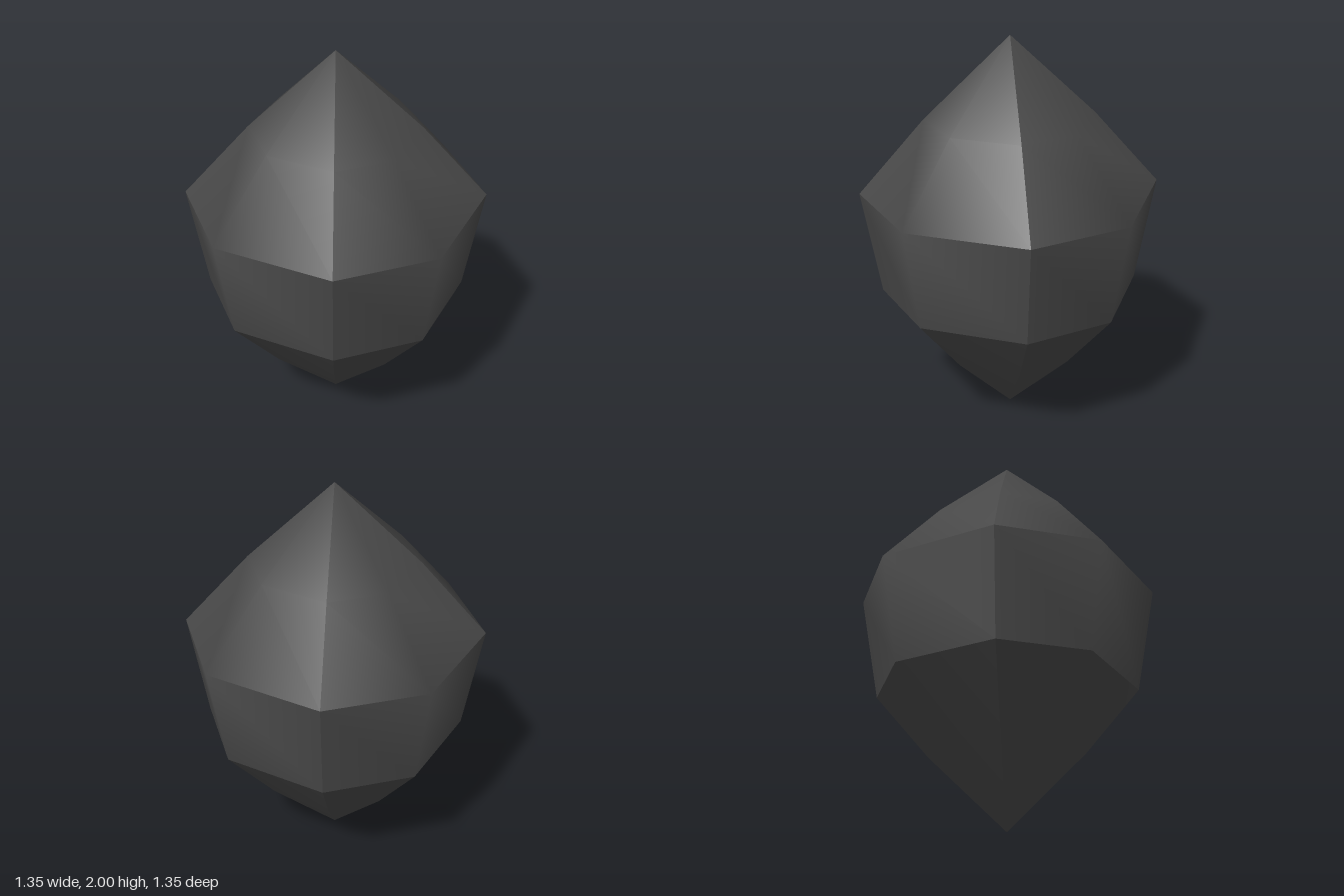
import * as THREE from 'three';

// Rings from bottom tip to top tip: [height, scale of the octagon]
const RINGS = [[0, 0], [0.38, 0.515], [0.7, 0.873], [1.23, 1], [1.6, 0.565], [2, 0]];
// Band above each ring: 0 base, 1 body, 2 crown
const BANDS = [0, 0, 1, 2, 2];
// One quarter of the octagon: hard corner, soft corner, hard corner
const CORNERS = [[0.305, 0.675], [-0.305, 0.675], [-0.675, 0.305]];

// A quarter of the gem, smooth around its middle corner and hard at its sides
function quarterPanel() {
  const positions = [], indices = [], known = new Map();
  const vertex = (ring, col, band) => {
    const [y, s] = RINGS[ring];
    const softGirdle = ring === 3 && col === 1;
    const key = s === 0 ? `tip${ring}` : `${ring},${col},${softGirdle ? '' : band}`;
    if (!known.has(key)) {
      known.set(key, positions.length / 3);
      positions.push(CORNERS[col][0] * s, y, CORNERS[col][1] * s);
    }
    return known.get(key);
  };
  const triangle = (a, b, c) => {
    if (a !== b && b !== c && a !== c) indices.push(a, b, c);
  };
  BANDS.forEach((band, i) => {
    for (let col = 0; col < 2; col++) {
      const a = vertex(i, col, band), b = vertex(i + 1, col, band);
      const c = vertex(i, col + 1, band), d = vertex(i + 1, col + 1, band);
      triangle(a, b, d);
      triangle(a, d, c);
    }
  });
  const geometry = new THREE.BufferGeometry();
  geometry.setAttribute('position', new THREE.Float32BufferAttribute(positions, 3));
  geometry.setIndex(indices);
  geometry.computeVertexNormals();
  return geometry;
}

export function createModel() {
  const charcoal = new THREE.MeshStandardMaterial({ color: 0x484848 });
  charcoal.name = 'charcoal';
  const gem = new THREE.Group();
  gem.name = 'gem';

  // Four equal panels around the vertical axis
  const geometry = quarterPanel();
  for (let i = 0; i < 4; i++) {
    const panel = new THREE.Mesh(geometry, charcoal);
    panel.name = `gemPanel${i + 1}`;
    panel.rotation.y = i * Math.PI / 2;
    gem.add(panel);
  }
  return gem;
}
